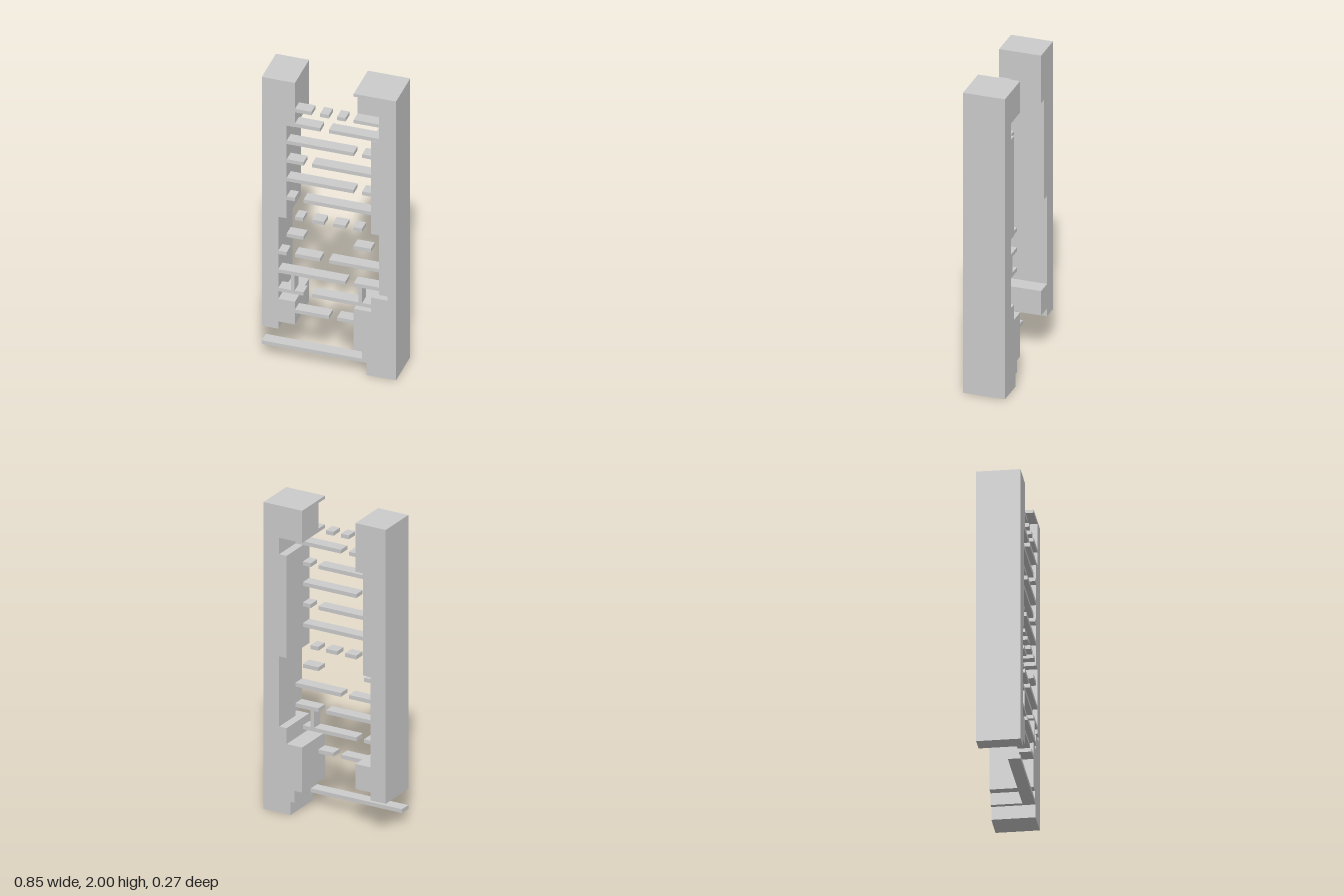
import * as THREE from 'three';

const BACK = -0.135, MID = 0.057, FRONT = 0.133;

export function createModel() {
  const group = new THREE.Group();
  const material = new THREE.MeshStandardMaterial({ color: 0xcccccc, flatShading: true });

  function add(name, geometry) {
    const mesh = new THREE.Mesh(geometry, material);
    mesh.name = name;
    group.add(mesh);
    return mesh;
  }

  // Front outline swept from z0 to z1
  function slab(name, points, z0, z1) {
    const shape = new THREE.Shape(points.map(([x, y]) => new THREE.Vector2(x, y)));
    const geometry = new THREE.ExtrudeGeometry(shape, { depth: z1 - z0, bevelEnabled: false });
    add(name, geometry.translate(0, 0, z0));
  }

  // Box in the thin front layer
  function frontBox(name, x0, x1, y0, y1) {
    add(name, new THREE.BoxGeometry(x1 - x0, y1 - y0, FRONT - MID))
      .position.set((x0 + x1) / 2, (y0 + y1) / 2, (MID + FRONT) / 2);
  }

  // Stepped column on the -x side
  slab('rightColumn', [
    [-0.425, 0.215], [-0.32, 0.215], [-0.32, 0.267], [-0.215, 0.267], [-0.215, 0.43],
    [-0.32, 0.43], [-0.32, 1.018], [-0.267, 1.018], [-0.267, 1.683], [-0.215, 1.683],
    [-0.215, 2], [-0.425, 2],
  ], BACK, FRONT);

  // Stepped column on the +x side; its front layer has two recesses
  const lower = [
    [0.425, 2], [0.425, 0], [0.238, 0], [0.238, 0.085], [0.21, 0.085], [0.21, 0.163],
    [0.157, 0.163], [0.157, 0.457], [0.265, 0.457], [0.265, 0.56],
  ];
  const upper = [
    [0.317, 1.017], [0.265, 1.017], [0.265, 1.683], [0.317, 1.683], [0.317, 1.79], [0.157, 1.79],
  ];
  const smallNotch = [[0.37, 0.56], [0.37, 0.59], [0.317, 0.59]];
  const topRecess = [[0.157, 1.813], [0.317, 1.813], [0.317, 1.98], [0.157, 1.98]];
  slab('leftColumnBack', [...lower, [0.317, 0.56], ...upper, [0.157, 2]], BACK, MID);
  slab('leftColumnFront', [...lower, ...smallNotch, ...upper, ...topRecess, [0.157, 2]], MID, FRONT);

  // Broken rungs: centre height, then start and end of each piece
  const rungs = [
    [1.802, [-0.215, -0.11], [-0.055, 0], [0.052, 0.105]],
    [1.697, [-0.215, -0.055], [0, 0.317]],
    [1.564, [-0.267, 0.157], [0.21, 0.265]],
    [1.43, [-0.267, -0.16], [-0.107, 0.265]],
    [1.297, [-0.267, 0.157], [0.21, 0.265]],
    [1.163, [-0.267, -0.215], [-0.16, 0.265]],
    [1.03, [-0.215, -0.163], [-0.107, -0.03], [0.025, 0.105], [0.157, 0.21]],
    [0.897, [-0.267, -0.16], [0.157, 0.265]],
    [0.763, [-0.32, -0.267], [-0.215, -0.055], [0, 0.317]],
    [0.63, [-0.32, 0.105], [0.157, 0.317]],
    [0.497, [-0.32, -0.16], [-0.107, 0.265]],
    [0.362, [-0.215, 0], [0.052, 0.157]],
    [0.097, [-0.425, 0.21]],
  ];
  for (const [y, ...pieces] of rungs)
    for (const [x0, x1] of pieces) frontBox('rung', x0, x1, y - 0.0125, y + 0.0125);

  // Short posts between two lower rungs
  frontBox('rightPost', -0.241, -0.217, 0.5095, 0.6175);
  frontBox('leftPost', 0.186, 0.21, 0.5095, 0.6175);

  return group;
}
